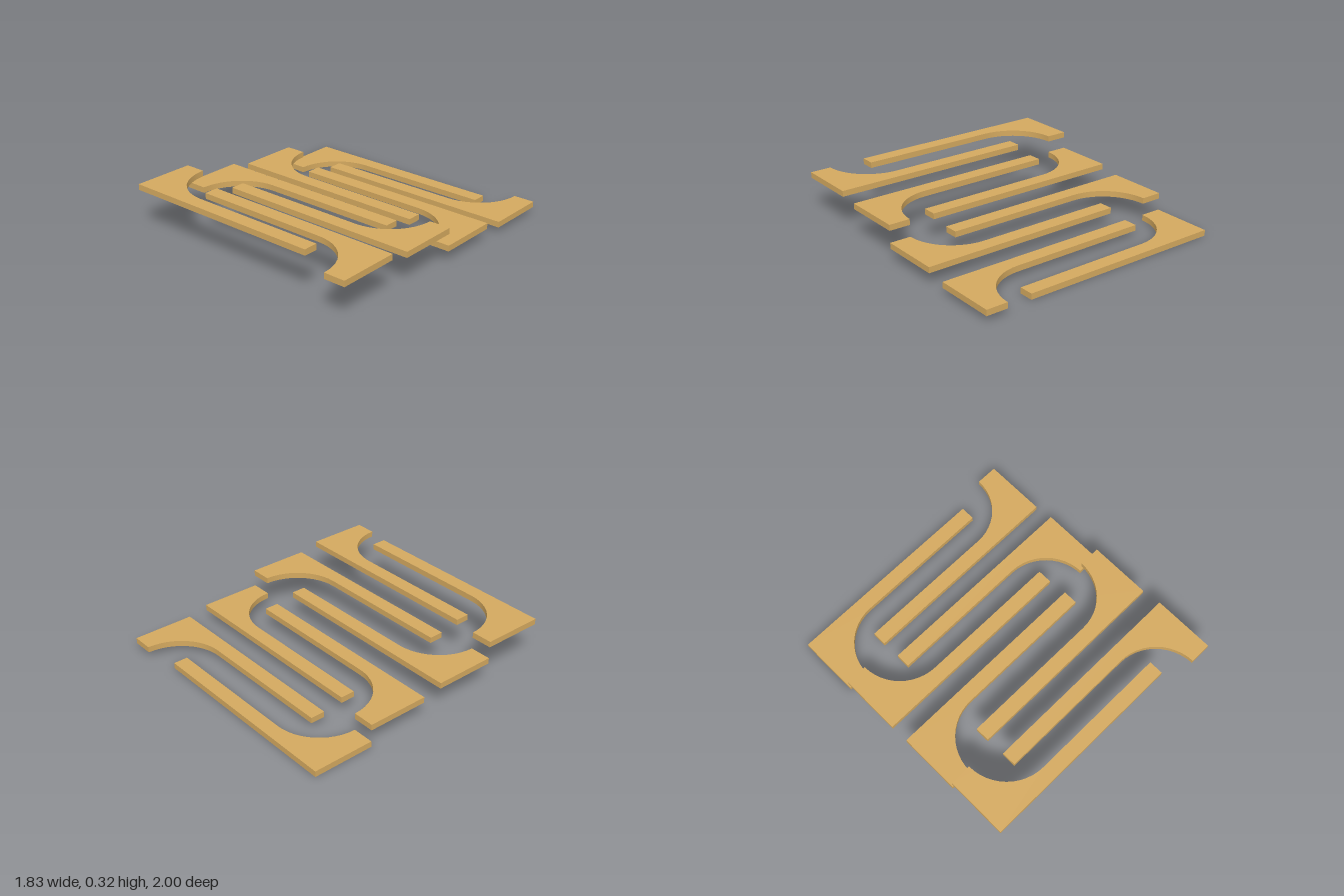
import * as THREE from 'three';
import { toCreasedNormals } from 'three/addons/utils/BufferGeometryUtils.js';

const THICK = 0.0406;   // height of one layer
const OUTER = 0.914;    // outer edge of the heel block
const INNER = 0.765;    // where the arc meets the heel line
const TIP = 0.547;      // free end of the arm
const RADIUS = 0.33;
const ARM = 0.1;        // arm width
const ARC_STEPS = 12;

// One hooked bar: heel block, quarter-circle inner corner and long arm.
// side: +1 heel at +x, -1 heel at -x; dir: z direction from heel line to arm.
function hookGeometry(side, dir) {
  const outline = [[OUTER, 0], [OUTER, RADIUS + ARM], [-TIP, RADIUS + ARM], [-TIP, RADIUS]];
  for (let i = 0; i <= ARC_STEPS; i++) {
    const a = (Math.PI / 2) * (1 - i / ARC_STEPS);
    outline.push([INNER - RADIUS + RADIUS * Math.cos(a), RADIUS * Math.sin(a)]);
  }
  const shape = new THREE.Shape(outline.map(([x, z]) => new THREE.Vector2(side * x, -dir * z)));
  const geometry = new THREE.ExtrudeGeometry(shape, { depth: THICK, bevelEnabled: false });
  geometry.rotateX(-Math.PI / 2);
  return toCreasedNormals(geometry, 0.5);
}

export function createModel() {
  const group = new THREE.Group();
  group.name = 'steppedSerpentine';
  const material = new THREE.MeshStandardMaterial({ color: 0xd4a95f });

  // Bars from the lowest layer up: [side, z of heel line, direction of arm]
  const layers = [
    [-1, -0.512, -1],
    [1, -1, 1],
    [1, 0, -1],
    [-1, -0.512, 1],
    [-1, 0.487, -1],
    [1, 0, 1],
    [1, 1, -1],
    [-1, 0.487, 1],
  ];
  layers.forEach(([side, z, dir], i) => {
    const bar = new THREE.Mesh(hookGeometry(side, dir), material);
    bar.name = `${side > 0 ? 'left' : 'right'}HookBar${i + 1}`;
    bar.position.set(0, i * THICK, z);
    group.add(bar);
  });
  return group;
}
